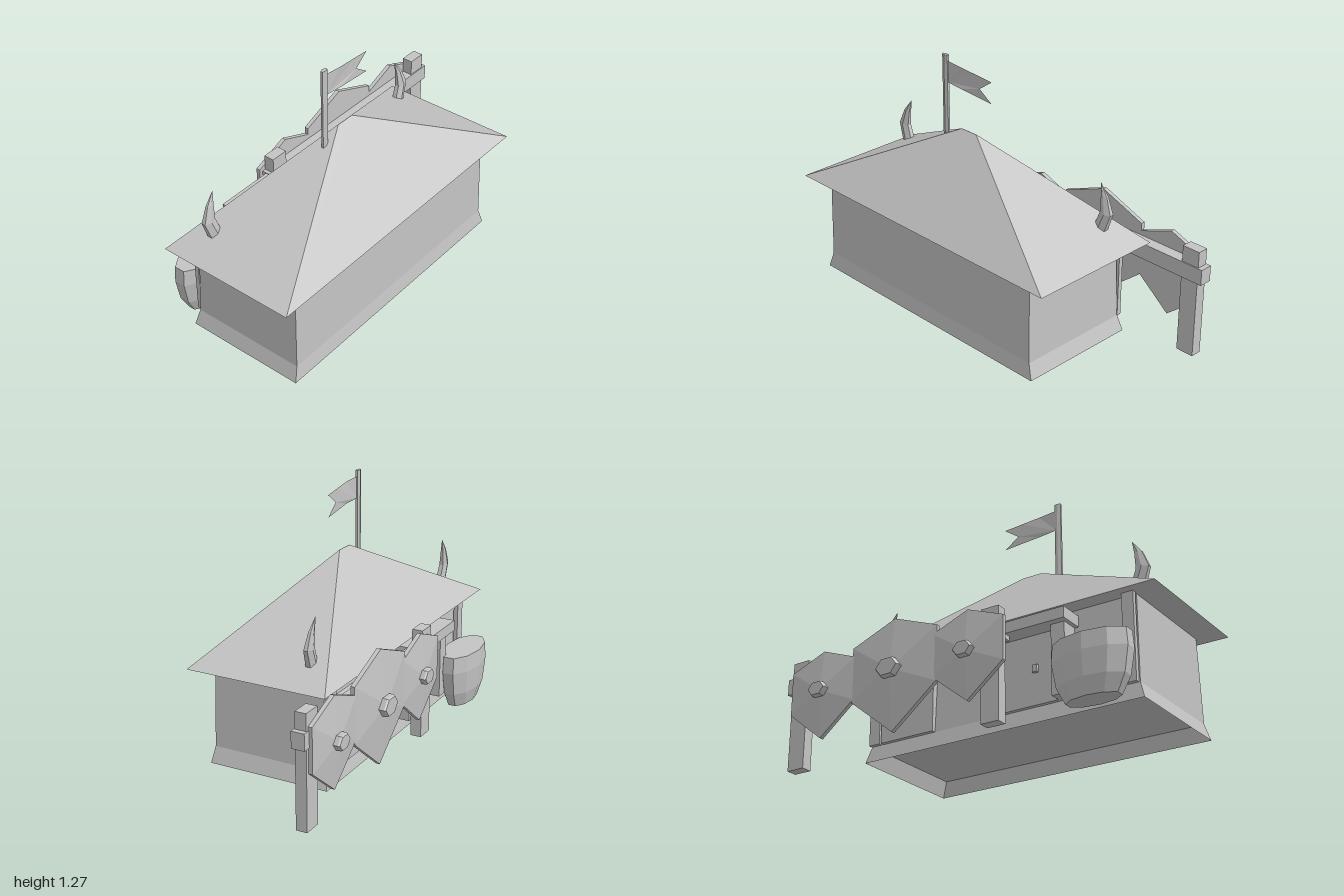
import * as THREE from 'three';

const grey = new THREE.MeshStandardMaterial({ color: 0xc4c4c4, flatShading: true });
grey.name = 'plain grey';
const greySheet = grey.clone();
greySheet.name = 'sheet grey';
greySheet.side = THREE.DoubleSide;

// Skin between rings of points (counter-clockwise seen from the last ring), with optional end caps
function loft(rings, capped = true) {
  const pos = [];
  const tri = (...pts) => pts.forEach((p) => pos.push(...p));
  const n = rings[0].length;
  for (let r = 0; r < rings.length - 1; r++) {
    for (let i = 0; i < n; i++) {
      const j = (i + 1) % n, a = rings[r], b = rings[r + 1];
      tri(a[i], a[j], b[j]);
      tri(a[i], b[j], b[i]);
    }
  }
  const first = rings[0], last = rings[rings.length - 1];
  for (let i = 1; capped && i < n - 1; i++) {
    tri(first[0], first[i + 1], first[i]);
    tri(last[0], last[i], last[i + 1]);
  }
  const g = new THREE.BufferGeometry();
  g.setAttribute('position', new THREE.Float32BufferAttribute(pos, 3));
  g.computeVertexNormals();
  return g;
}

// Level rectangle and level ellipse rings
const rect = (y, x0, x1, z0, z1) => [[x0, y, z1], [x1, y, z1], [x1, y, z0], [x0, y, z0]];
const oval = (n, y, cx, cz, rx, rz) => Array.from({ length: n }, (_, i) => {
  const a = ((i + 0.5) / n) * Math.PI * 2;
  return [cx + rx * Math.cos(a), y, cz - rz * Math.sin(a)];
});

export function createModel() {
  const model = new THREE.Group();
  const group = (name) => {
    const g = new THREE.Group();
    g.name = name;
    model.add(g);
    return g;
  };
  const add = (name, geometry, parent = model, material = grey) => {
    const mesh = new THREE.Mesh(geometry, material);
    mesh.name = name;
    parent.add(mesh);
    return mesh;
  };
  const box = (name, x0, x1, y0, y1, z0, z1, parent = model) => {
    const m = add(name, new THREE.BoxGeometry(x1 - x0, y1 - y0, z1 - z0), parent);
    m.position.set((x0 + x1) / 2, (y0 + y1) / 2, (z0 + z1) / 2);
  };

  // House: closed walls over an open flared skirt, under a hipped roof
  const wallFoot = rect(0.08, -0.875, 0.567, -0.225, 0.378);
  add('walls', loft([wallFoot, rect(0.508, -0.865, 0.558, -0.205, 0.372)]));
  add('skirt', loft([rect(0, -0.9, 0.593, -0.24, 0.39), wallFoot], false), model, greySheet);
  add('roof', loft([
    rect(0.506, -1, 0.697, -0.29, 0.437),
    rect(0.916, -0.2, -0.1, 0.074, 0.076),
  ]));

  // Curved horns on the roof ends, mirrored about the middle of the house
  const hornRings = [[0.575, 0.68, 0.04, 0.025], [0.665, 0.712, 0.038, 0.021], [0.745, 0.694, 0.022, 0.012], [0.805, 0.666, 0.001, 0.001]];
  for (const side of [-1, 1]) {
    add(side < 0 ? 'rightHorn' : 'leftHorn', loft(hornRings.map(([y, x, rx, rz], i) =>
      oval(6, y, -0.155 + side * x, -0.128 - i * 0.004, rx, rz))));
  }

  // Flagpole and swallow-tailed flag
  add('flagpole', loft([0.85, 1.27].map((y) => oval(6, y, -0.302, 0.08, 0.02, 0.011))));
  const shape = new THREE.Shape([
    [-0.29, 1.13], [-0.19, 1.125], [-0.09, 1.115], [0.008, 1.105], [-0.07, 1.16],
    [0.008, 1.215], [-0.09, 1.225], [-0.19, 1.235], [-0.29, 1.24],
  ].map(([x, y]) => new THREE.Vector2(x, y)));
  const flag = new THREE.ShapeGeometry(shape);
  const fp = flag.attributes.position;
  for (let i = 0; i < fp.count; i++) fp.setZ(i, 0.08 + 0.005 * Math.sin((fp.getX(i) + 0.29) * 16));
  flag.computeVertexNormals();
  add('flag', flag, model, greySheet);

  // Corner boards on the back wall
  box('cornerBoardRight', -0.868, -0.81, 0.08, 0.508, -0.245, -0.222);
  box('cornerBoardLeft', 0.51, 0.57, 0.08, 0.508, -0.245, -0.222);

  // Doorway
  const doorway = group('doorway');
  box('door', -0.49, -0.19, 0.08, 0.42, -0.245, -0.2, doorway);
  box('doorHandle', -0.38, -0.355, 0.235, 0.27, -0.26, -0.24, doorway);
  box('doorJambRight', -0.55, -0.48, 0.08, 0.42, -0.3, -0.2, doorway);
  box('doorJambLeft', -0.2, -0.13, 0.08, 0.42, -0.3, -0.2, doorway);
  box('lintel', -0.57, -0.11, 0.42, 0.475, -0.335, -0.2, doorway);

  // Second door behind the shields
  const sideDoor = group('secondDoor');
  box('door', 0.2, 0.5, 0.08, 0.42, -0.245, -0.2, sideDoor);
  box('doorHandle', 0.45, 0.475, 0.235, 0.27, -0.26, -0.24, sideDoor);

  // Oval tub beside the door
  add('tub', loft([[0, 0.135, 0.063], [0.08, 0.178, 0.085], [0.2, 0.2, 0.094], [0.285, 0.193, 0.09]]
    .map(([y, rx, rz]) => oval(10, y, -0.705, -0.33, rx, rz))));

  // Rack of two posts and a rail
  const rack = group('shieldRack');
  box('leftPost', 0.88, 0.975, 0, 0.56, -0.358, -0.302, rack);
  box('rightPost', -0.24, -0.145, 0, 0.56, -0.358, -0.302, rack);
  box('rail', -0.26, 1, 0.397, 0.478, -0.363, -0.297, rack);

  // Six-sided pointed shields with bosses, facing the back
  const outline = [[0, 0.21], [0.195, 0.135], [0.193, -0.085], [0, -0.24], [-0.193, -0.085], [-0.195, 0.135]];
  for (const [cx, cy, s, peak] of [[0.765, 0.36, 1, 0.404], [0.335, 0.367, 1.275, 0.412], [-0.085, 0.36, 1, 0.404]]) {
    const shield = group('shield');
    const ring = (k, z) => outline.map(([x, y]) => [cx + x * s * k, cy + y * s * k, -z]);
    add('shieldPlate', loft([ring(1, 0.357), ring(1, 0.378), ring(0.005, peak)]), shield);
    const boss = (k, z) => Array.from({ length: 6 }, (_, i) => {
      const a = (i / 6) * Math.PI * 2;
      return [cx - 0.052 * s * k * Math.cos(a), cy + 0.04 * s * k * Math.sin(a), -z];
    });
    add('shieldBoss', loft([boss(1, 0.385), boss(1, peak + 0.018), boss(0.9, peak + 0.026)]), shield);
  }
  return model;
}
